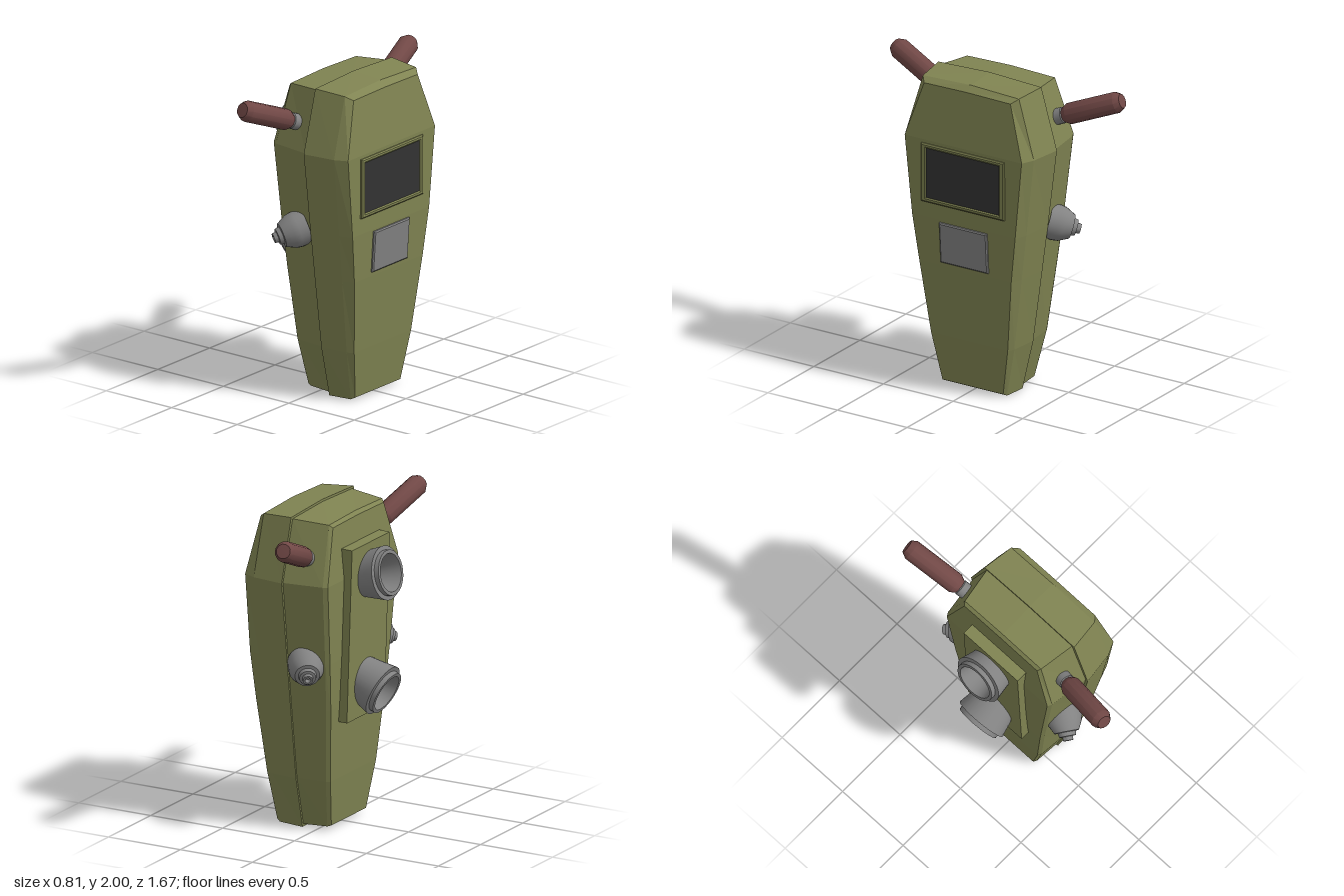
import * as THREE from 'three';
import { toCreasedNormals } from 'three/addons/utils/BufferGeometryUtils.js';

const UP = new THREE.Vector3(0, 1, 0);

function material(name, color, flatShading = false) {
  const m = new THREE.MeshStandardMaterial({ color, flatShading });
  m.name = name;
  return m;
}

// Half cross-section [x, y, z] from top centre to bottom, mirrored into a closed loop
function ring(xs, ys, zs) {
  const half = xs.map((x, i) => [x, ys[i], zs[i]]);
  const other = half.slice(1).reverse().map(([x, y, z]) => [x, y, -z]);
  return [...half, ...other];
}

// Skin between rings ordered by increasing x, closed at both ends
function loft(rings) {
  const pos = [];
  const n = rings[0].length;
  const tri = (a, b, c) => pos.push(...a, ...b, ...c);
  for (let r = 0; r < rings.length - 1; r++) {
    for (let i = 0; i < n; i++) {
      const j = (i + 1) % n;
      const a = rings[r][i], b = rings[r][j], c = rings[r + 1][j], d = rings[r + 1][i];
      tri(a, b, c);
      tri(a, c, d);
    }
  }
  const cap = (p, flip) => {
    const face = (a, b, c) => (flip ? tri(a, c, b) : tri(a, b, c));
    face(p[0], p[1], p[n - 1]);
    for (let i = 1; i < (n - 1) / 2; i++) {
      face(p[i], p[i + 1], p[n - i - 1]);
      face(p[i], p[n - i - 1], p[n - i]);
    }
  };
  cap(rings[0], true);
  cap(rings[rings.length - 1], false);
  const g = new THREE.BufferGeometry();
  g.setAttribute('position', new THREE.Float32BufferAttribute(pos, 3));
  g.computeVertexNormals();
  return g;
}

// Turned part whose axis points from origin along dir
function turned(name, profile, sides, mat, origin, dir) {
  const g = new THREE.LatheGeometry(profile.map(([r, y]) => new THREE.Vector2(r, y)), sides);
  const mesh = new THREE.Mesh(toCreasedNormals(g, 0.6), mat);
  mesh.name = name;
  mesh.position.set(...origin);
  mesh.quaternion.setFromUnitVectors(UP, new THREE.Vector3(...dir).normalize());
  return mesh;
}

function rectangle(path, w, h) {
  path.moveTo(-w / 2, -h / 2);
  path.lineTo(w / 2, -h / 2);
  path.lineTo(w / 2, h / 2);
  path.lineTo(-w / 2, h / 2);
  path.closePath();
  return path;
}

export function createModel() {
  const model = new THREE.Group();
  model.name = 'pod';
  const green = material('olive green', 0x808452, true);
  const grey = material('grey metal', 0x828282);
  const dark = material('dark screen', 0x333333);
  const brown = material('brown grip', 0x714846);
  const add = (name, geometry, mat, x = 0, y = 0, z = 0) => {
    const mesh = new THREE.Mesh(geometry, mat);
    mesh.name = name;
    mesh.position.set(x, y, z);
    model.add(mesh);
    return mesh;
  };

  // Shell with the screen, facing +x
  add('screenShell', loft([
    ring(Array(7).fill(0.1), [2, 1.985, 1.6, 1.1, 0.8, 0.33, 0.005],
      [0, 0.37, 0.482, 0.418, 0.377, 0.312, 0.235]),
    ring([0.305, 0.305, 0.31, 0.305, 0.295, 0.28, 0.26], [1.985, 1.972, 1.6, 1.1, 0.8, 0.33, 0.012],
      [0, 0.345, 0.455, 0.398, 0.358, 0.295, 0.23]),
    ring([0.345, 0.345, 0.39, 0.385, 0.367, 0.322, 0.285], [1.95, 1.945, 1.6, 1.1, 0.8, 0.33, 0.025],
      [0, 0.31, 0.42, 0.37, 0.33, 0.275, 0.218]),
  ]), green);

  // Slightly smaller shell with the thrusters
  add('thrusterShell', loft([
    ring([-0.15, -0.15, -0.182, -0.165, -0.15, -0.115, -0.083], [1.945, 1.94, 1.6, 1.1, 0.8, 0.33, 0.035],
      [0, 0.3, 0.415, 0.36, 0.325, 0.27, 0.205]),
    ring([-0.13, -0.13, -0.155, -0.14, -0.125, -0.09, -0.06], [1.967, 1.958, 1.6, 1.1, 0.8, 0.33, 0.028],
      [0, 0.315, 0.43, 0.375, 0.338, 0.283, 0.215]),
    ring(Array(7).fill(0.1), [1.985, 1.972, 1.6, 1.1, 0.8, 0.33, 0.022],
      [0, 0.352, 0.466, 0.405, 0.365, 0.3, 0.225]),
  ]), green);

  // Screen and its frame
  const frameShape = rectangle(new THREE.Shape(), 0.58, 0.36);
  frameShape.holes.push(rectangle(new THREE.Path(), 0.54, 0.335));
  const bevel = { depth: 0.014, bevelSize: 0.008, bevelThickness: 0.006, bevelSegments: 1 };
  add('screenFrame', new THREE.ExtrudeGeometry(frameShape, bevel).rotateY(Math.PI / 2), green, 0.382, 1.39, 0);
  add('screen', new THREE.BoxGeometry(0.008, 0.335, 0.54), dark, 0.392, 1.39, 0);

  // Raised panel under the screen
  const panelShape = rectangle(new THREE.Shape(), 0.326, 0.246);
  add('accessPanel', new THREE.ExtrudeGeometry(panelShape, bevel).rotateY(Math.PI / 2), grey, 0.371, 0.957, 0)
    .rotation.z = -0.067;

  // Mounting plate and two thrusters
  add('thrusterPlate', new THREE.BoxGeometry(0.075, 1.09, 0.445), green, -0.182, 1.245, 0).rotation.z = 0.033;
  const nozzle = [[0.13, -0.19], [0.166, 0], [0.139, 0.002], [0.139, 0.032], [0.117, 0.032], [0.085, -0.1], [0, -0.1]];
  model.add(turned('upperThruster', nozzle, 28, grey, [-0.345, 1.608, 0], [-0.977, 0.21, 0]));
  model.add(turned('lowerThruster', nozzle, 28, grey, [-0.32, 0.865, 0], [-0.918, -0.398, 0]));

  // Side nozzles and grips, one per side
  const sideNozzle = [[0.108, -0.06], [0.11, 0], [0.105, 0.035], [0.075, 0.095], [0.055, 0.097],
    [0.05, 0.122], [0.033, 0.124], [0.03, 0.148], [0.018, 0.148], [0.012, 0.12], [0, 0.12]];
  const neck = [[0.05, -0.07], [0.05, 0], [0.04, 0.012]];
  const grip = [[0, 0], [0.042, 0], [0.065, 0.04], [0.065, 0.375], [0.045, 0.41], [0, 0.412]];
  for (const s of [1, -1]) {
    const side = s > 0 ? 'left' : 'right';
    model.add(turned(side + 'Nozzle', sideNozzle, 24, grey, [-0.022, 1.075, 0.4 * s], [-0.55, -0.29, 0.78 * s]));
    const start = [-0.035, 1.775, 0.44 * s], dir = [-0.072, 0.15, 0.375 * s];
    model.add(turned(side + 'GripNeck', neck, 16, grey, start, dir));
    model.add(turned(side + 'Grip', grip, 12, brown, start, dir));
  }
  return model;
}
